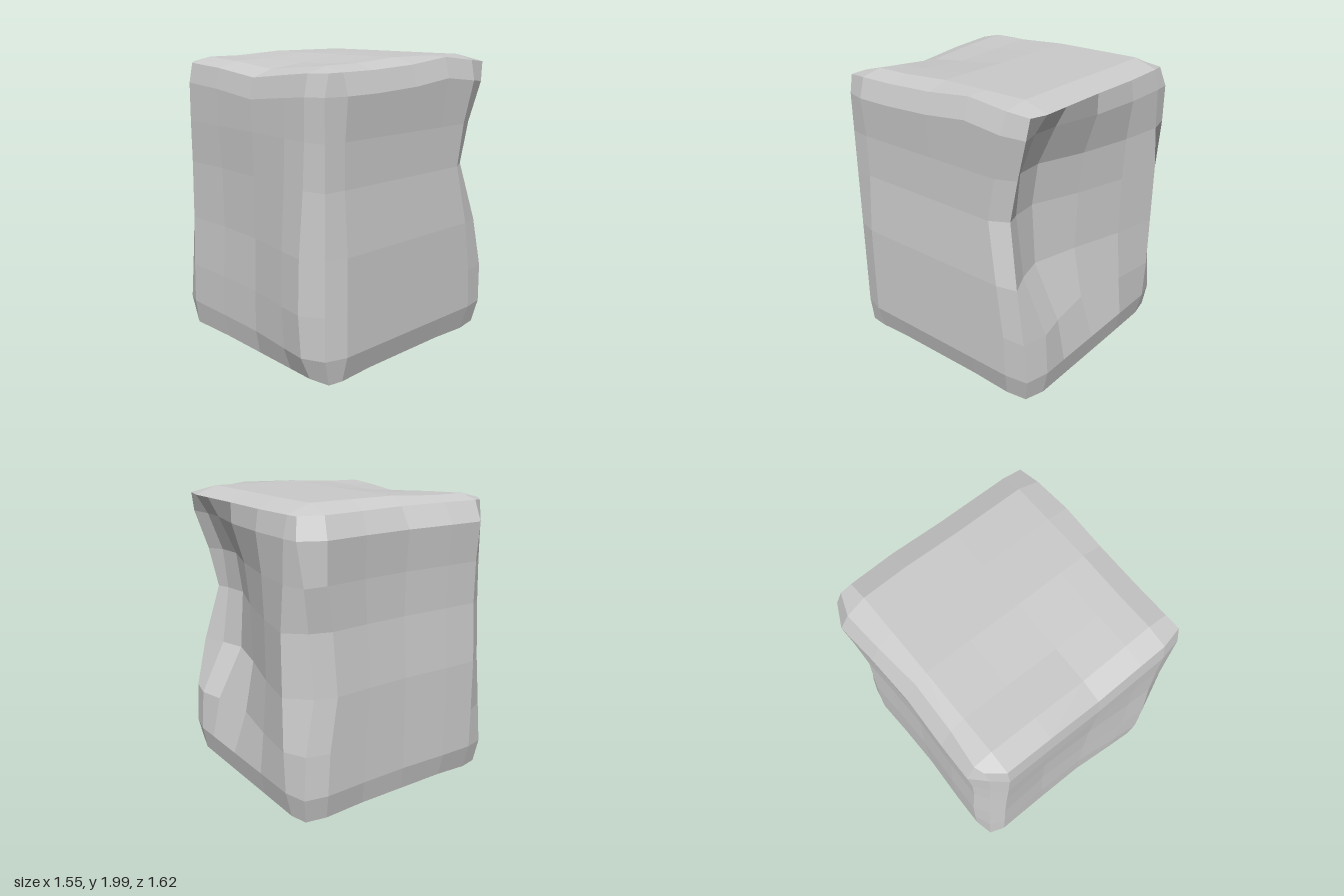
import * as THREE from 'three';

// Grid lines of the block; the outer line on each axis forms the worn edges
const X = [-0.73, -0.59, -0.28, 0.08, 0.4, 0.58, 0.72];
const Y = [0.08, 0.24, 0.52, 0.87, 1.27, 1.55, 1.81, 1.94];
const Z = [-0.75, -0.6, -0.32, 0, 0.34, 0.58, 0.72];

// Distance of the back face behind the centre, rows bottom to top, columns along X
const BACK = [
  [0.74, 0.76, 0.77, 0.77, 0.77, 0.77, 0.73],
  [0.76, 0.80, 0.80, 0.80, 0.80, 0.80, 0.76],
  [0.74, 0.81, 0.77, 0.70, 0.74, 0.78, 0.74],
  [0.67, 0.81, 0.74, 0.63, 0.55, 0.60, 0.67],
  [0.69, 0.81, 0.74, 0.64, 0.52, 0.54, 0.57],
  [0.75, 0.79, 0.75, 0.67, 0.56, 0.57, 0.63],
  [0.77, 0.78, 0.78, 0.75, 0.68, 0.67, 0.71],
  [0.74, 0.75, 0.76, 0.75, 0.75, 0.75, 0.73],
];

// Half-widths of three upright edges, bottom to top
const BACK_LOW_X = [0.72, 0.74, 0.73, 0.72, 0.70, 0.75, 0.71, 0.67];
const BACK_HIGH_X = [0.71, 0.74, 0.75, 0.73, 0.67, 0.68, 0.71, 0.70];
const FRONT_LOW_X = [0.72, 0.745, 0.73, 0.71, 0.69, 0.68, 0.68, 0.69];

const bell = (v, centre, width) => Math.exp(-(((v - centre) / width) ** 2));

// Place one grid node on the weathered surface
function place(i, j, k) {
  const x0 = X[i], y0 = Y[j], z0 = Z[k];
  let x = x0, y = y0, z = z0;
  const side = i === 0 ? -1 : i === 6 ? 1 : 0;
  const cap = j === 0 ? -1 : j === 7 ? 1 : 0;
  const face = k === 0 ? -1 : k === 6 ? 1 : 0;
  const outer = Math.abs(side) + Math.abs(cap) + Math.abs(face);
  const inside = outer === 1;

  // sides: slightly swollen low down, pinched higher up
  if (inside && side) {
    x += side * (0.045 - 0.035 * bell(y0, 1.4, 0.32));
    if (side < 0) x += 0.02 * bell(z0, -0.1, 0.35) - 0.025 * bell(y0, 1.7, 0.25) * bell(z0, -0.6, 0.3);
  }
  // front: swollen at one lower corner, slightly hollow beside it
  if (inside && face > 0) {
    z += 0.025 + 0.065 * bell(x0, 0.58, 0.3) * bell(y0, 0.6, 0.6);
    z -= 0.035 * bell(x0, -0.2, 0.35) * bell(y0, 1.05, 0.4);
  }
  // upright edges, and the bevel that narrows toward the base
  if (side < 0 && face < 0) x = -BACK_LOW_X[j];
  if (side > 0 && face < 0) x = BACK_HIGH_X[j];
  if (side < 0 && face > 0) {
    x = -FRONT_LOW_X[j];
    z -= 0.05 * Math.min(1, y0);
  }
  if (i === 1 && face > 0) x -= 0.06 * (1 - y0 / 1.94);
  // back: hollow reaching one edge
  if (k < 3) z *= BACK[j][i] / 0.75;
  // top and base
  if (inside && cap > 0) y += z0 < 0.2 ? 0.055 : 0.035;
  if (inside && cap < 0)
    y -= 0.05 + 0.03 * bell(x0, 0.58, 0.2) - 0.025 * bell(x0, -0.3, 0.2) - 0.02 * bell(z0, 0, 0.3);
  // horizontal edges bow out beside the corners
  if (outer === 2 && cap < 0 && (i === 1 || k === 1 || k === 5)) y -= 0.012;
  if (outer === 2 && cap > 0 && side < 0) x += 0.06 * bell(z0, 0.1, 0.45);
  if (outer === 3 && face > 0) z -= 0.03;
  // sagging upper rim at the front and along one side
  if (j >= 6) {
    y -= 0.06 * bell(x0, 0.08, 0.35) * bell(z0, 0.75, 0.42);
    if (i === 6) y += 0.05 * bell(z0, -0.32, 0.3);
  }
  return [x, Math.max(0, Math.min(2, y)), z];
}

// Share one averaged normal over the two triangles of every facet
function facetNormals(geometry) {
  geometry.computeVertexNormals();
  const normals = geometry.attributes.normal;
  const sum = new THREE.Vector3(), one = new THREE.Vector3();
  for (let q = 0; q < normals.count; q += 6) {
    sum.fromBufferAttribute(normals, q).add(one.fromBufferAttribute(normals, q + 3)).normalize();
    for (let n = q; n < q + 6; n++) normals.setXYZ(n, sum.x, sum.y, sum.z);
  }
}

export function createModel() {
  const geometry = new THREE.BoxGeometry(6, 7, 6, 6, 7, 6).toNonIndexed();
  const p = geometry.attributes.position;
  for (let n = 0; n < p.count; n++) {
    const i = Math.round(p.getX(n) + 3);
    const j = Math.round(p.getY(n) + 3.5);
    const k = Math.round(p.getZ(n) + 3);
    p.setXYZ(n, ...place(i, j, k));
  }
  facetNormals(geometry);

  const block = new THREE.Mesh(geometry, new THREE.MeshStandardMaterial({ color: 0xcccccc }));
  block.name = 'stoneBlock';
  const group = new THREE.Group();
  group.name = 'boulder';
  group.add(block);
  return group;
}
